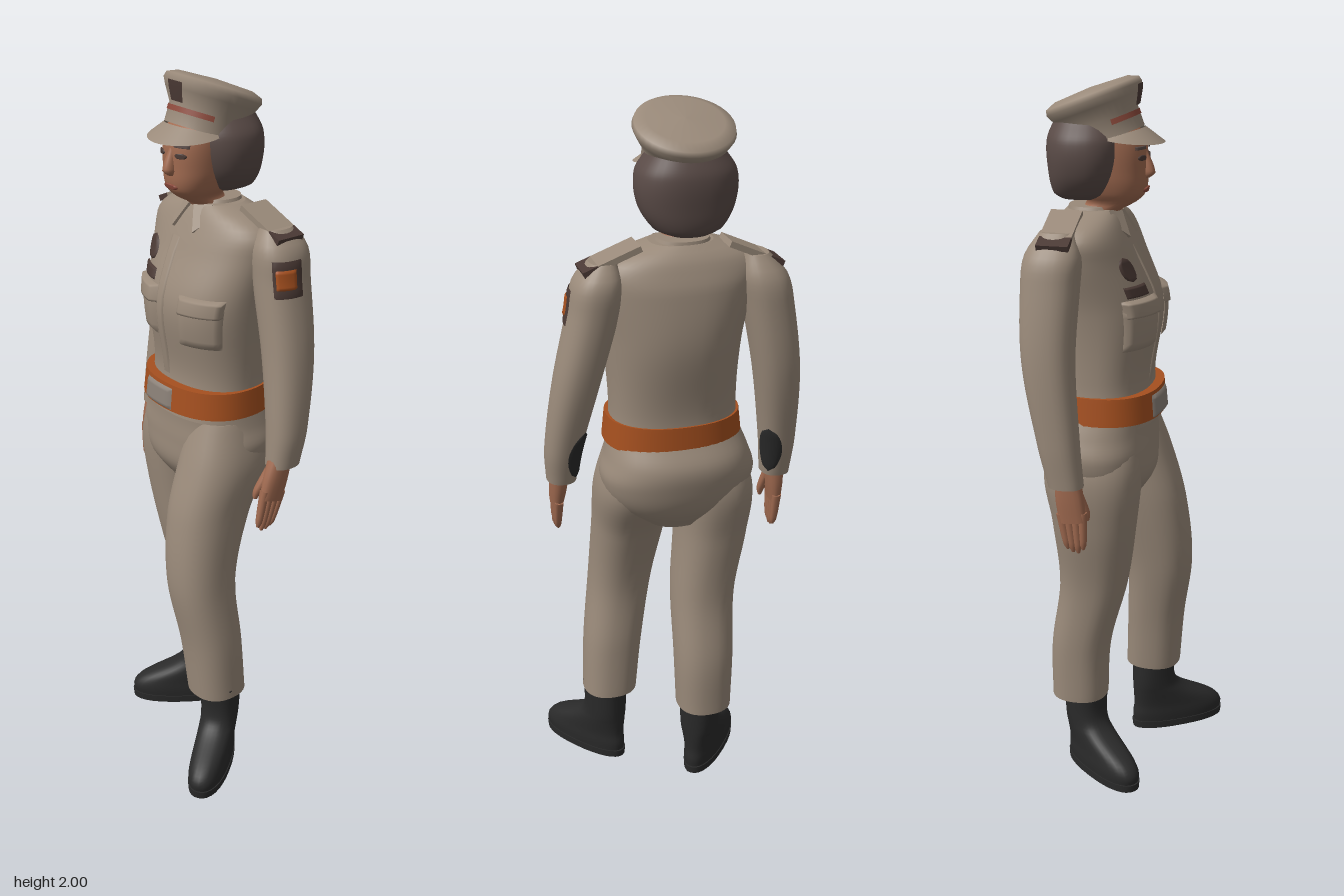
import * as THREE from 'three';

const mat = (name, color) => new THREE.MeshStandardMaterial({ name, color, side: THREE.DoubleSide });
const khaki = mat('khaki cloth', 0x9a8a7a), boot = mat('black leather', 0x2a2a2a);
const orange = mat('orange leather', 0xa6501f), skin = mat('skin', 0xa06a50);
const hairMat = mat('brown hair', 0x5a4b47), trim = mat('dark trim', 0x4b3a35);
const steel = mat('buckle metal', 0x8b8178), lip = mat('lips', 0x8c4a3c);

const POWER = 2.3; // superellipse exponent of every cross-section

// Smooth section [cx, cz, rx, rz] at height y; rows of S are [y, cx, cz, rx, rz]
function sectionAt(S, y) {
  let i = 0;
  while (i < S.length - 2 && y > S[i + 1][0]) i++;
  const a = S[i], b = S[i + 1], p = S[i - 1] || a, q = S[i + 2] || b;
  const h = b[0] - a[0], t = (y - a[0]) / h, t2 = t * t, t3 = t2 * t;
  return [1, 2, 3, 4].map(k => {
    const ma = (b[k] - p[k]) / (b[0] - p[0]), mb = (q[k] - a[k]) / (q[0] - a[0]);
    return (2 * t3 - 3 * t2 + 1) * a[k] + (t3 - 2 * t2 + t) * h * ma + (3 * t2 - 2 * t3) * b[k] + (t3 - t2) * h * mb;
  });
}

function surfacePoint(S, y, angle, off = 0) {
  const [cx, cz, rx, rz] = sectionAt(S, y);
  const bend = v => Math.sign(v) * Math.abs(v) ** (2 / POWER);
  return [cx + (rx + off) * bend(Math.cos(angle)), y, cz + (rz + off) * bend(Math.sin(angle))];
}

function meshFrom(name, material, pos, idx) {
  const g = new THREE.BufferGeometry();
  g.setAttribute('position', new THREE.Float32BufferAttribute(pos, 3));
  g.setIndex(idx);
  g.computeVertexNormals();
  const m = new THREE.Mesh(g, material);
  m.name = name;
  return m;
}

// Closed body lofted through horizontal sections
function loft(name, material, S, rows = 28, sides = 32, warp = p => p) {
  const pos = [], idx = [], y0 = S[0][0], y1 = S[S.length - 1][0];
  const ring = y => {
    for (let j = 0; j < sides; j++) pos.push(...warp(surfacePoint(S, y, j / sides * Math.PI * 2)));
  };
  for (let i = 0; i <= rows; i++) ring(y0 + (y1 - y0) * i / rows);
  for (let i = 0; i < rows; i++) for (let j = 0; j < sides; j++) {
    const a = i * sides + j, b = i * sides + (j + 1) % sides, c = a + sides, d = b + sides;
    idx.push(a, c, b, b, c, d);
  }
  for (const [y, top] of [[y0, false], [y1, true]]) {
    const start = pos.length / 3, [cx, cz] = sectionAt(S, y);
    ring(y);
    pos.push(...warp([cx, y, cz]));
    for (let j = 0; j < sides; j++) {
      const a = start + j, b = start + (j + 1) % sides, c = start + sides;
      idx.push(c, top ? b : a, top ? a : b);
    }
  }
  return meshFrom(name, material, pos, idx);
}

// Thin pillowed plate lying on a lofted body; oval trims it to an ellipse
function patch(name, material, S, y0, y1, a0, a1, off, oval = false) {
  const pos = [], idx = [], n = 10;
  for (let i = 0; i <= n; i++) for (let j = 0; j <= n; j++) {
    const v = i / n, w = oval ? Math.sqrt(Math.max(0, 1 - (2 * v - 1) ** 2)) : 1;
    const u = 0.5 + (j / n - 0.5) * w, edge = i % n === 0 || j % n === 0;
    pos.push(...surfacePoint(S, y0 + (y1 - y0) * v, a0 + (a1 - a0) * u, edge ? 0.002 : off));
    if (i < n && j < n) {
      const a = i * (n + 1) + j, c = a + n + 1;
      idx.push(a, c, a + 1, a + 1, c, c + 1);
    }
  }
  return meshFrom(name, material, pos, idx);
}

// The same plate on the front, given by its x range
function frontPatch(name, material, S, x0, x1, y0, y1, off, oval) {
  const [cx, , rx] = sectionAt(S, (y0 + y1) / 2);
  const toAngle = x => {
    const u = Math.max(-1, Math.min(1, (x - cx) / rx));
    return Math.acos(Math.sign(u) * Math.abs(u) ** (POWER / 2));
  };
  return patch(name, material, S, y0, y1, toAngle(x1), toAngle(x0), off, oval);
}

// Palm, four fingers and thumb hanging from the wrist
function makeHand(s, [x, y, z], swing) {
  const g = new THREE.Group();
  g.name = 'hand';
  g.position.set(x, y, z);
  g.rotation.set(-swing, 0, s * .05);
  g.add(loft('palm', skin, [[-.125, 0, .004, .016, .037], [-.06, 0, .002, .023, .039], [.02, 0, 0, .027, .031]], 12, 16));
  for (let i = 0; i < 4; i++) {
    const fz = -.027 + i * .02, tip = -.218 + .009 * Math.abs(i - 1.7);
    g.add(loft('finger', skin, [[tip, -s * .008, fz * .7, .004, .004], [tip + .015, -s * .006, fz * .75, .009, .009], [-.1, 0, fz, .013, .012]], 8, 10));
  }
  g.add(loft('thumb', skin, [[-.13, -s * .028, .035, .005, .006], [-.11, -s * .026, .035, .011, .011], [-.04, -s * .008, .018, .016, .016]], 8, 10));
  return g;
}

// Boot with its toe along local +z, turned outwards
function makeBoot([x, z, yaw]) {
  const g = new THREE.Group();
  g.name = 'boot';
  g.position.set(x, 0, z);
  g.rotation.y = yaw;
  const taper = ([px, py, pz]) => [px * (py < .13 ? 1 + pz * .5 : 1), py, pz];
  g.add(loft('upper', boot, [[.015, 0, .08, .049, .143], [.045, 0, .08, .051, .146], [.075, 0, .068, .05, .13],
    [.13, 0, .015, .052, .079], [.17, 0, 0, .054, .065], [.26, 0, 0, .058, .065]], 30, 32, taper));
  g.add(loft('sole', boot, [[0, 0, .08, .051, .147], [.022, 0, .08, .052, .149]], 2, 32, taper));
  return g;
}

// Shoulder strap with a dark outer end
function makeStrap(s, [x, y, z, tilt]) {
  const g = new THREE.Group();
  g.name = 'shoulderStrap';
  for (const [part, m, cx, w] of [['strap', khaki, -.02, .12], ['strapEnd', trim, .06, .042]]) {
    const b = new THREE.Mesh(new THREE.BoxGeometry(w, .016, .085), m);
    b.name = part;
    b.position.x = s * cx;
    g.add(b);
  }
  g.position.set(x, y, z);
  g.rotation.z = tilt;
  return g;
}

// Sleeve along a path of [y, x, z], with hand, cuff panel and strap
function makeArm(s, path, wrist, swing, cuffAngle, strap) {
  const girth = [[.04, .047], [.049, .056], [.062, .07], [.067, .077], [.064, .074], [.035, .045]];
  const S = path.map((p, i) => [...p, ...girth[i]]), y = S[0][0];
  const g = new THREE.Group();
  g.name = s > 0 ? 'leftArm' : 'rightArm';
  g.add(loft('sleeve', khaki, S, 36, 28), makeHand(s, wrist, swing), makeStrap(s, strap));
  g.add(patch('cuffPanel', boot, S, y + .015, y + .16, cuffAngle - .75, cuffAngle + .75, .004, true));
  if (s > 0) {
    g.add(patch('sleevePatch', trim, S, 1.465, 1.56, -.1, .95, .004));
    g.add(patch('sleevePatchCentre', orange, S, 1.485, 1.54, .05, .85, .008));
  }
  return g;
}

// Trouser leg along a path of [x, z], standing in its boot
function makeLeg(name, path, foot) {
  const girth = [[.235, .079, .08], [.4, .085, .084], [.6, .09, .096], [.8, .1, .118], [.95, .106, .136], [1.08, .09, .115]];
  const g = new THREE.Group();
  g.name = name;
  g.add(loft('trouserLeg', khaki, girth.map(([y, rx, rz], i) => [y, ...path[i], rx, rz]), 40, 32), makeBoot(foot));
  return g;
}

// Peaked cap tilted back, with band, badge and visor
function makeCap() {
  const cap = new THREE.Group(), top = new THREE.Group();
  cap.name = 'cap';
  top.position.set(-.035, 1.957, -.092);
  top.rotation.x = -.36;
  const turn = (name, m, pts, start = 0, len = Math.PI * 2) => {
    const mesh = new THREE.Mesh(new THREE.LatheGeometry(pts.map(p => new THREE.Vector2(...p)), 40, start, len), m);
    mesh.name = name;
    top.add(mesh);
  };
  turn('crown', khaki, [[.1, -.125], [.1, -.075], [.122, -.038], [.132, -.018], [.128, -.004], [.1, .007], [0, .012]]);
  turn('capBand', lip, [[.102, -.094], [.102, -.08]], -1.1, 2.2);
  turn('capBadge', trim, [[.108, -.07], [.126, -.038], [.133, -.022]], -.22, .44);
  const pos = [], idx = [], n = 20;
  for (let i = 0; i <= n; i++) for (let k = 0; k <= 3; k++) {
    const a = -1.35 + 2.7 * i / n, out = .052 * Math.cos(a) * k / 3, r = .096 + out;
    pos.push(-.035 + r * Math.sin(a), 1.872 - .022 * (1 - Math.cos(a)) - out * .75, -.047 + r * Math.cos(a));
    if (i < n && k < 3) {
      const p = i * 4 + k;
      idx.push(p, p + 1, p + 4, p + 4, p + 1, p + 5);
    }
  }
  cap.add(top, meshFrom('visor', khaki, pos, idx));
  return cap;
}

// Shirt, trouser seat, belt, pockets, badges and collar
function makeBody() {
  const g = new THREE.Group();
  g.name = 'body';
  const torso = [[1.08, -.015, -.06, .185, .142], [1.2, -.012, -.065, .174, .132], [1.4, -.01, -.068, .186, .157],
    [1.55, -.018, -.092, .212, .124], [1.6, -.02, -.095, .212, .105], [1.635, -.022, -.095, .17, .088], [1.66, -.025, -.09, .085, .068]];
  const belt = [[1.1, -.014, -.052, .192, .153], [1.175, -.013, -.054, .184, .148]];
  g.add(loft('shirt', khaki, torso, 40, 48), loft('belt', orange, belt, 6, 48));
  g.add(loft('trouserSeat', khaki, [[.85, -.02, -.06, .09, .09], [.92, -.022, -.065, .185, .14], [1, -.022, -.075, .215, .155],
    [1.06, -.02, -.077, .2, .155], [1.12, -.015, -.06, .183, .14]], 24, 40));
  g.add(frontPatch('buckle', steel, belt, -.1, .02, 1.104, 1.166, .008));
  g.add(frontPatch('placket', khaki, torso, -.05, -.022, 1.19, 1.57, .006));
  for (const x of [-.112, .092]) {
    g.add(frontPatch('pocket', khaki, torso, x - .055, x + .055, 1.3, 1.42, .012));
    g.add(frontPatch('pocketFlap', khaki, torso, x - .059, x + .059, 1.39, 1.44, .018));
  }
  g.add(frontPatch('nameTag', trim, torso, -.165, -.085, 1.445, 1.475, .007));
  g.add(frontPatch('chestBadge', trim, torso, -.165, -.11, 1.485, 1.55, .007, true));
  g.add(loft('collar', khaki, [[1.61, -.03, -.085, .095, .08], [1.668, -.03, -.095, .068, .06]], 8, 32));
  for (const s of [-1, 1]) {
    const leaf = new THREE.Shape([[.008, .03], [.062, .048], [.075, .005], [.042, -.04]].map(([x, y]) => new THREE.Vector2(s * x, y)));
    const m = new THREE.Mesh(new THREE.ExtrudeGeometry(leaf, { depth: .008, bevelEnabled: false }), khaki);
    m.name = 'collarLeaf';
    m.position.set(-.03, 1.628, .002);
    m.rotation.set(-.6, s * .3, 0);
    g.add(m);
  }
  return g;
}

// Head with neck, bobbed hair, face and cap
function makeHead() {
  const g = new THREE.Group();
  g.name = 'headAndCap';
  const head = [[1.58, -.03, -.08, .056, .055], [1.655, -.032, -.07, .054, .056], [1.675, -.034, -.042, .05, .064],
    [1.7, -.034, -.036, .066, .085], [1.75, -.034, -.038, .08, .094], [1.85, -.035, -.05, .085, .095], [1.9, -.035, -.08, .07, .07]];
  g.add(loft('head', skin, head, 36, 36), makeCap());
  g.add(loft('hair', hairMat, [[1.685, -.035, -.12, .055, .055], [1.7, -.035, -.115, .09, .078], [1.76, -.035, -.104, .126, .1],
    [1.84, -.035, -.1, .13, .106], [1.895, -.035, -.1, .095, .085]], 28, 36));
  g.add(loft('nose', skin, [[1.742, -.034, .05, .012, .012], [1.755, -.034, .055, .017, .022], [1.815, -.034, .044, .008, .01]], 12, 16));
  g.add(frontPatch('mouth', lip, head, -.06, -.008, 1.704, 1.72, .006, true));
  for (const x of [-.07, .002]) {
    g.add(frontPatch('eye', trim, head, x - .016, x + .016, 1.79, 1.805, .005, true));
    g.add(frontPatch('eyebrow', hairMat, head, x - .021, x + .021, 1.818, 1.827, .005));
  }
  return g;
}

export function createModel() {
  const g = new THREE.Group();
  g.name = 'uniformedOfficer';
  g.add(makeBody(), makeHead());
  g.add(makeArm(1, [[1.005, .302, -.06], [1.1, .298, -.075], [1.3, .263, -.103], [1.5, .216, -.115], [1.58, .203, -.117], [1.628, .19, -.115]],
    [.303, 1.03, -.052], .27, Math.PI * 1.25, [.172, 1.634, -.115, -.36]));
  g.add(makeArm(-1, [[.965, -.302, -.1], [1.08, -.298, -.12], [1.3, -.277, -.15], [1.5, -.245, -.15], [1.57, -.23, -.145], [1.625, -.21, -.14]],
    [-.304, .99, -.097], .1, -Math.PI / 4, [-.205, 1.627, -.135, .42]));
  g.add(makeLeg('leftLeg', [[.152, .04], [.138, .05], [.11, .065], [.093, .025], [.092, -.035], [.08, -.06]], [.167, .037, .61]));
  g.add(makeLeg('rightLeg', [[-.093, -.125], [-.093, -.12], [-.1, -.08], [-.124, -.07], [-.128, -.073], [-.1, -.06]], [-.088, -.11, -.66]));
  return g;
}
